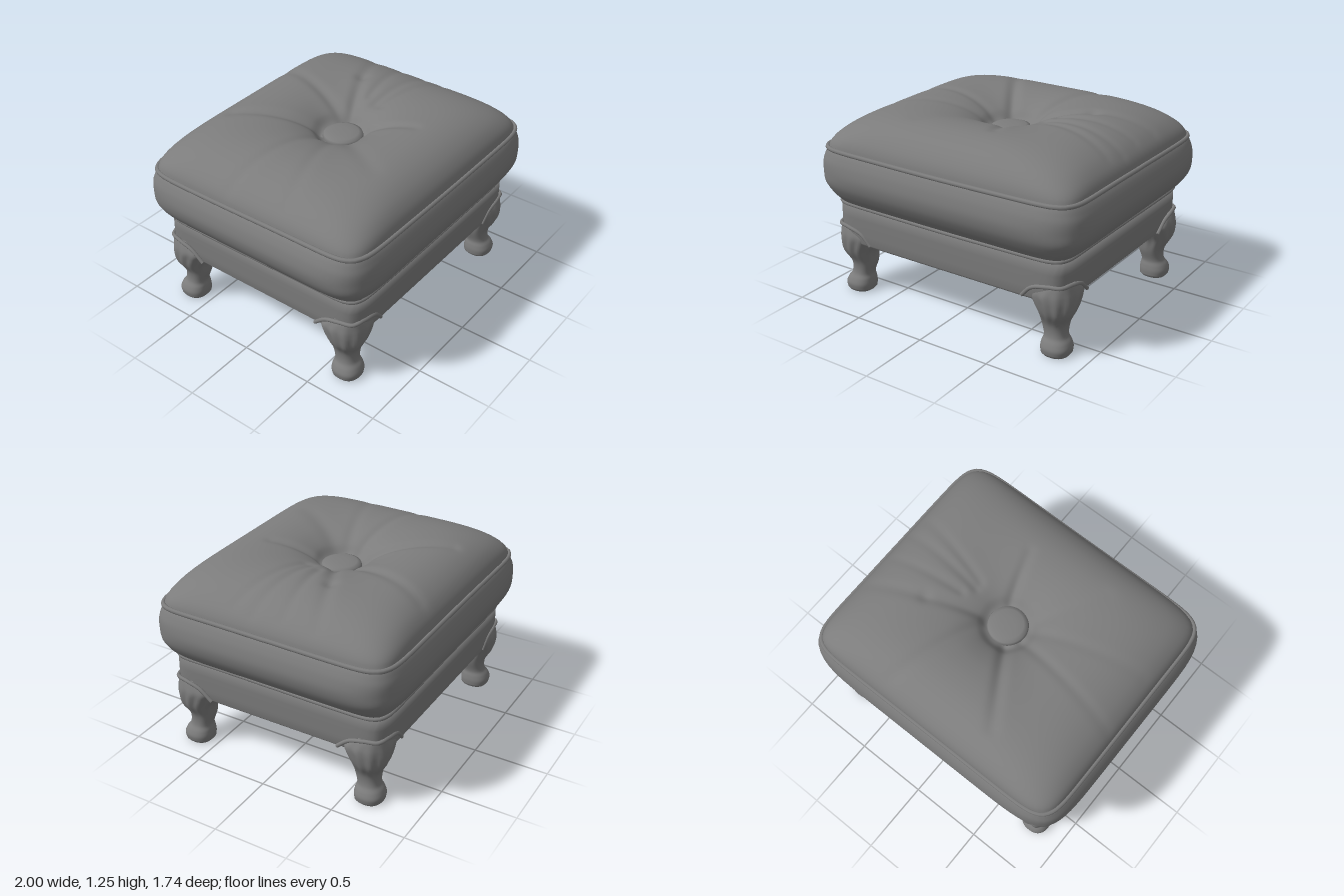
import * as THREE from 'three';

const fabric = new THREE.MeshStandardMaterial({ color: 0x7c7c7c });
fabric.name = 'grey upholstery';

// Half depth that belongs to a half width: rectangular outside, round at the centre
const depthOf = (h) => h * (1 - 0.132 * Math.min(1, h / 0.945));

// Point on a rounded-square outline with exponent n
function outline(a, hx, hz, n) {
  const c = Math.cos(a), s = Math.sin(a);
  const rho = Math.pow(Math.abs(c) ** n + Math.abs(s) ** n, -1 / n);
  return [hx * rho * c, hz * rho * s];
}

// Smoothly resample rows of three numbers
function smooth(rows, count) {
  const curve = new THREE.CatmullRomCurve3(rows.map((r) => new THREE.Vector3(...r)));
  return curve.getPoints(count).map((p) => p.toArray());
}

// Skin rings { y, hx, hz, n, cx, cz } listed from bottom to top
function loft(rings, segs, displace) {
  const pos = [], index = [];
  rings.forEach((r) => {
    for (let j = 0; j < segs; j++) {
      const [x, z] = outline((j / segs) * Math.PI * 2, r.hx, r.hz, r.n);
      const p = new THREE.Vector3(x + (r.cx || 0), r.y, z + (r.cz || 0));
      if (displace) displace(p, (j / segs) * Math.PI * 2, r);
      pos.push(p.x, p.y, p.z);
    }
  });
  for (let i = 0; i < rings.length - 1; i++) {
    for (let j = 0; j < segs; j++) {
      const a = i * segs + j, b = i * segs + ((j + 1) % segs);
      index.push(a, a + segs, b, b, a + segs, b + segs);
    }
  }
  const g = new THREE.BufferGeometry();
  g.setAttribute('position', new THREE.Float32BufferAttribute(pos, 3));
  g.setIndex(index);
  g.computeVertexNormals();
  return g;
}

function add(parent, name, geometry) {
  const mesh = new THREE.Mesh(geometry, fabric);
  mesh.name = name;
  parent.add(mesh);
  return mesh;
}

const bodyRing = ([y, h, n]) => ({ y, hx: h, hz: depthOf(h), n });

// Closed cord following the outline at height y
function piping(y, h, n, radius) {
  const pts = [];
  for (let i = 0; i < 120; i++) {
    const [x, z] = outline((i / 120) * Math.PI * 2, h, depthOf(h), n);
    pts.push(new THREE.Vector3(x, y + 0.004 * Math.sin(i * 0.16), z));
  }
  return new THREE.TubeGeometry(new THREE.CatmullRomCurve3(pts, true), 240, radius, 8, true);
}

// Folds pulled in by the button: x1, z1, x2, z2, depth, width
const folds = [
  [-0.07, -0.12, -0.36, -0.6, 0.03, 0.04],
  [0.14, -0.03, 0.5, -0.2, 0.03, 0.04],
  [0.5, -0.2, 0.85, -0.33, 0.014, 0.04],
  [0.13, -0.08, 0.33, -0.72, 0.02, 0.04],
  [0.09, 0.14, 0.18, 0.44, 0.022, 0.035],
  [-0.13, -0.03, -0.9, -0.15, 0.012, 0.035],
  [-0.1, 0.1, -0.36, 0.5, 0.014, 0.06],
  [0.35, -0.03, 0.85, -0.1, 0.012, 0.03],
  [0.3, 0.05, 0.88, 0.1, 0.012, 0.03],
  [0.3, 0.1, 0.85, 0.24, 0.012, 0.03],
  [-0.15, 0.06, -0.85, 0.26, 0.008, 0.04],
];

function pressFolds(p) {
  for (const [x1, z1, x2, z2, depth, width] of folds) {
    const dx = x2 - x1, dz = z2 - z1;
    const t = ((p.x - x1) * dx + (p.z - z1) * dz) / (dx * dx + dz * dz);
    const k = THREE.MathUtils.clamp(t, 0, 1);
    const d = Math.hypot(p.x - x1 - k * dx, p.z - z1 - k * dz);
    p.y -= depth * (1 - 0.6 * k) * Math.exp(-((d / width) ** 2));
  }
}

function makeLeg() {
  const leg = new THREE.Group();
  // Curved leg with a round foot: height, centre x, radius
  const rows = smooth([
    [0.012, 0.775, 0.093], [0.05, 0.776, 0.097], [0.085, 0.772, 0.088],
    [0.12, 0.765, 0.073], [0.2, 0.755, 0.084], [0.29, 0.769, 0.113],
    [0.36, 0.758, 0.14], [0.41, 0.748, 0.153], [0.45, 0.762, 0.129], [0.49, 0.788, 0.087],
  ], 44);
  const rings = rows.map(([y, cx, r]) => ({ y, cx, cz: cx - 0.13, hx: r, hz: r, n: 2.4 }));
  const first = rings[0], last = rings[rings.length - 1];
  rings.unshift(
    { ...first, y: 0, hx: 1e-4, hz: 1e-4 },
    { ...first, y: 0, hx: 0.083, hz: 0.083 },
    { ...first, y: 0, hx: 0.083, hz: 0.083 },
  );
  rings.push({ ...last, y: 0.5, hx: 1e-4, hz: 1e-4 });
  // Carved flutes on the knee
  const flute = (p, a, r) => {
    const k = 1 + 0.035 * Math.cos(12 * a) * Math.exp(-(((r.y - 0.34) / 0.09) ** 2));
    p.x = r.cx + (p.x - r.cx) * k;
    p.z = r.cz + (p.z - r.cz) * k;
  };
  add(leg, 'curvedLeg', loft(rings, 64, flute));
  // Raised rim of the knee where it wraps the corner of the frame
  const rim = [
    [0.59, 0.385, 0.755], [0.66, 0.455, 0.76], [0.77, 0.485, 0.758], [0.85, 0.488, 0.735],
    [0.875, 0.485, 0.65], [0.875, 0.455, 0.55], [0.87, 0.385, 0.465],
  ].map((p) => new THREE.Vector3(...p));
  add(leg, 'kneeRim', new THREE.TubeGeometry(new THREE.CatmullRomCurve3(rim), 48, 0.013, 8));
  return leg;
}

export function createModel() {
  const model = new THREE.Group();
  model.name = 'footstool';

  // Upholstered frame with a flat underside
  const frame = [
    [0.372, 1e-4, 16], [0.372, 0.84, 16], [0.375, 0.85, 16], [0.39, 0.863, 16],
    [0.45, 0.867, 18], [0.56, 0.868, 18], [0.65, 0.866, 18], [0.66, 1e-4, 18],
  ];
  add(model, 'frame', loft(frame.map(bodyRing), 192));

  // Bulging cushion side: height, half width, corner exponent
  const side = smooth([
    [0.65, 0.865, 14], [0.68, 0.9, 12], [0.73, 0.95, 10], [0.79, 0.985, 9],
    [0.86, 1, 8], [0.93, 0.989, 9], [0.98, 0.968, 10], [1.02, 0.94, 12],
  ], 32);
  add(model, 'cushionSide', loft(side.map(bodyRing), 192));

  // Cushion top, rising from the seam and sinking to the button
  const top = [
    [1.02, 0.94, 12], [1.06, 0.928, 11], [1.11, 0.895, 9], [1.165, 0.83, 7],
    [1.21, 0.74, 5.5], [1.238, 0.64, 4.5], [1.249, 0.54, 3.6], [1.245, 0.43, 3],
    [1.22, 0.31, 2.4], [1.17, 0.2, 2.1], [1.12, 0.145, 2], [1.1, 0.1, 2],
  ];
  const topRings = [];
  for (let i = 0; i < top.length - 1; i++) {
    const part = smooth(top.slice(Math.max(0, i - 1), i + 3).map(([y, h]) => [y, h, 0]), 1);
    if (part.length) topRings.push(top[i]);
  }
  topRings.push(top[top.length - 1]);
  const curve = new THREE.CatmullRomCurve3(topRings.map(([y, h, n]) => new THREE.Vector3(y, h, n * 0.05)));
  const fine = curve.getPoints(66).map((p) => [p.x, p.y, p.z / 0.05]);
  add(model, 'cushionTop', loft(fine.map(bodyRing), 192, pressFolds));

  // Button
  const button = [[1.07, 0.125], [1.105, 0.132], [1.125, 0.125], [1.135, 0.1], [1.138, 0.05], [1.139, 1e-4]]
    .map(([y, r]) => ({ y, hx: r, hz: r, n: 2, cx: 0.01, cz: 0.01 }));
  add(model, 'button', loft(button, 48));

  // Cords along the seams
  add(model, 'topPiping', piping(1.02, 0.943, 12, 0.015));
  add(model, 'framePiping', piping(0.65, 0.87, 16, 0.013));

  // Four legs mirrored to the corners
  for (const [name, sx, sz] of [
    ['frontLeftLeg', 1, 1], ['frontRightLeg', -1, 1], ['backLeftLeg', 1, -1], ['backRightLeg', -1, -1],
  ]) {
    const leg = makeLeg();
    leg.name = name;
    leg.scale.set(sx, 1, sz);
    model.add(leg);
  }
  return model;
}
